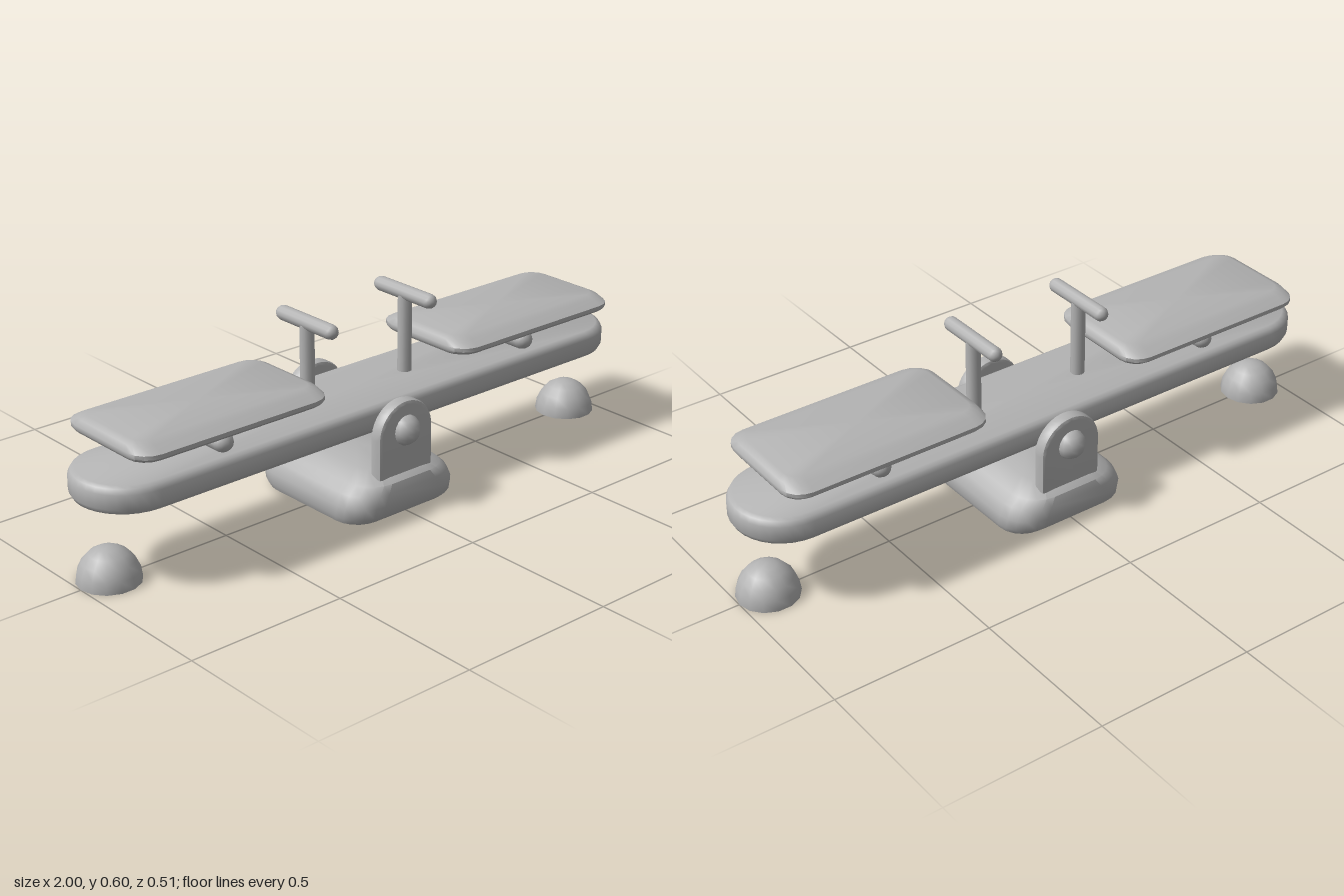
import * as THREE from 'three';
import { toCreasedNormals } from 'three/addons/utils/BufferGeometryUtils.js';

// Rounded-rectangle outline in the xz plane
function outline(hx, hz, r, y, steps) {
  const pts = [];
  r = Math.min(r, hx, hz);
  [[1, 1], [-1, 1], [-1, -1], [1, -1]].forEach(([sx, sz], q) => {
    for (let i = 0; i <= steps; i++) {
      const a = (q + i / steps) * Math.PI / 2;
      pts.push([sx * (hx - r) + r * Math.cos(a), y, sz * (hz - r) + r * Math.sin(a)]);
    }
  });
  return pts;
}

// Loft through rings [y, halfX, halfZ, cornerRadius] from bottom to top
function loft(rings, steps, closedBottom) {
  const loops = rings.map(([y, hx, hz, r]) => outline(hx, hz, r, y, steps));
  const n = loops[0].length, pos = [];
  const tri = (...p) => p.forEach((v) => pos.push(...v));
  const top = loops[loops.length - 1], bottom = loops[0];
  for (let j = 0; j < n; j++) {
    const k = (j + 1) % n;
    for (let i = 0; i < loops.length - 1; i++) {
      const lo = loops[i], hi = loops[i + 1];
      tri(lo[j], hi[j], hi[k]);
      tri(lo[j], hi[k], lo[k]);
    }
    tri([0, top[0][1], 0], top[k], top[j]);
    if (closedBottom) tri([0, bottom[0][1], 0], bottom[j], bottom[k]);
  }
  const g = new THREE.BufferGeometry();
  g.setAttribute('position', new THREE.Float32BufferAttribute(pos, 3));
  return toCreasedNormals(g, 0.75);
}

export function createModel() {
  const model = new THREE.Group();
  model.name = 'seesaw';
  const grey = new THREE.MeshStandardMaterial({ color: 0xb3b3b3 });
  grey.name = 'grey';
  const greyOpen = new THREE.MeshStandardMaterial({ color: 0xb3b3b3, side: THREE.DoubleSide });
  greyOpen.name = 'grey open shell';

  function add(name, geometry, x = 0, y = 0, z = 0, material = grey) {
    const mesh = new THREE.Mesh(geometry, material);
    mesh.name = name;
    mesh.position.set(x, y, z);
    model.add(mesh);
    return mesh;
  }

  // Hollow base, open underneath
  add('base', loft([
    [0, 0.2, 0.218, 0.08], [0.02, 0.209, 0.242, 0.1], [0.055, 0.208, 0.25, 0.1],
    [0.09, 0.192, 0.248, 0.1], [0.115, 0.165, 0.24, 0.09], [0.143, 0.11, 0.185, 0.06],
  ], 5, false), 0, 0, 0, greyOpen);

  // Long board with semicircular ends
  add('board', loft([
    [0.244, 0.972, 0.14, 0.14], [0.25, 0.984, 0.152, 0.152], [0.265, 0.992, 0.16, 0.16],
    [0.308, 0.992, 0.16, 0.16], [0.323, 0.984, 0.152, 0.152], [0.329, 0.972, 0.14, 0.14],
  ], 8, true));

  // Upright bracket outline with a round top
  const arch = new THREE.Shape();
  arch.moveTo(-0.093, 0.1);
  arch.lineTo(0.093, 0.1);
  arch.lineTo(0.093, 0.246);
  arch.absarc(0, 0.246, 0.093, 0, Math.PI, false);
  arch.closePath();
  const bracketGeo = toCreasedNormals(new THREE.ExtrudeGeometry(arch, {
    depth: 0.021, bevelThickness: 0.011, bevelSize: 0.011, bevelSegments: 2, curveSegments: 10,
  }), 0.75);
  const pivotGeo = new THREE.SphereGeometry(0.048, 12, 8);

  const seatGeo = loft([
    [0.389, 0.3, 0.135, 0.04], [0.403, 0.324, 0.178, 0.06], [0.413, 0.33, 0.189, 0.065],
    [0.425, 0.33, 0.189, 0.065], [0.441, 0.32, 0.158, 0.055], [0.449, 0.3, 0.135, 0.04],
  ], 4, true);
  const supportGeo = new THREE.CapsuleGeometry(0.031, 0.218, 4, 12).rotateX(Math.PI / 2);
  const postGeo = new THREE.CylinderGeometry(0.022, 0.022, 0.25, 12);
  const gripGeo = new THREE.CapsuleGeometry(0.0225, 0.21, 4, 12).rotateX(Math.PI / 2);
  const bumperGeo = new THREE.SphereGeometry(0.094, 14, 5, 0, Math.PI * 2, 0, Math.PI / 2)
    .scale(1, 0.104 / 0.094, 1);

  for (const s of [1, -1]) {
    const side = s > 0 ? 'left' : 'right';
    const face = s > 0 ? 'front' : 'back';
    // Pivot stand
    add(face + 'Bracket', bracketGeo, 0, 0, s * 0.197 - 0.0105);
    add(face + 'PivotCap', pivotGeo, 0, 0.258, s * 0.209);
    // Seat, its support, handle and ground bumper
    add(side + 'Seat', seatGeo, s * 0.58);
    add(side + 'SeatSupport', supportGeo, s * 0.585, 0.358, 0);
    add(side + 'HandlePost', postGeo, s * 0.19, 0.445, 0);
    add(side + 'HandleGrip', gripGeo, s * 0.19, 0.577, 0);
    add(side + 'Bumper', bumperGeo, s * 0.906, 0, 0, greyOpen);
  }
  return model;
}
